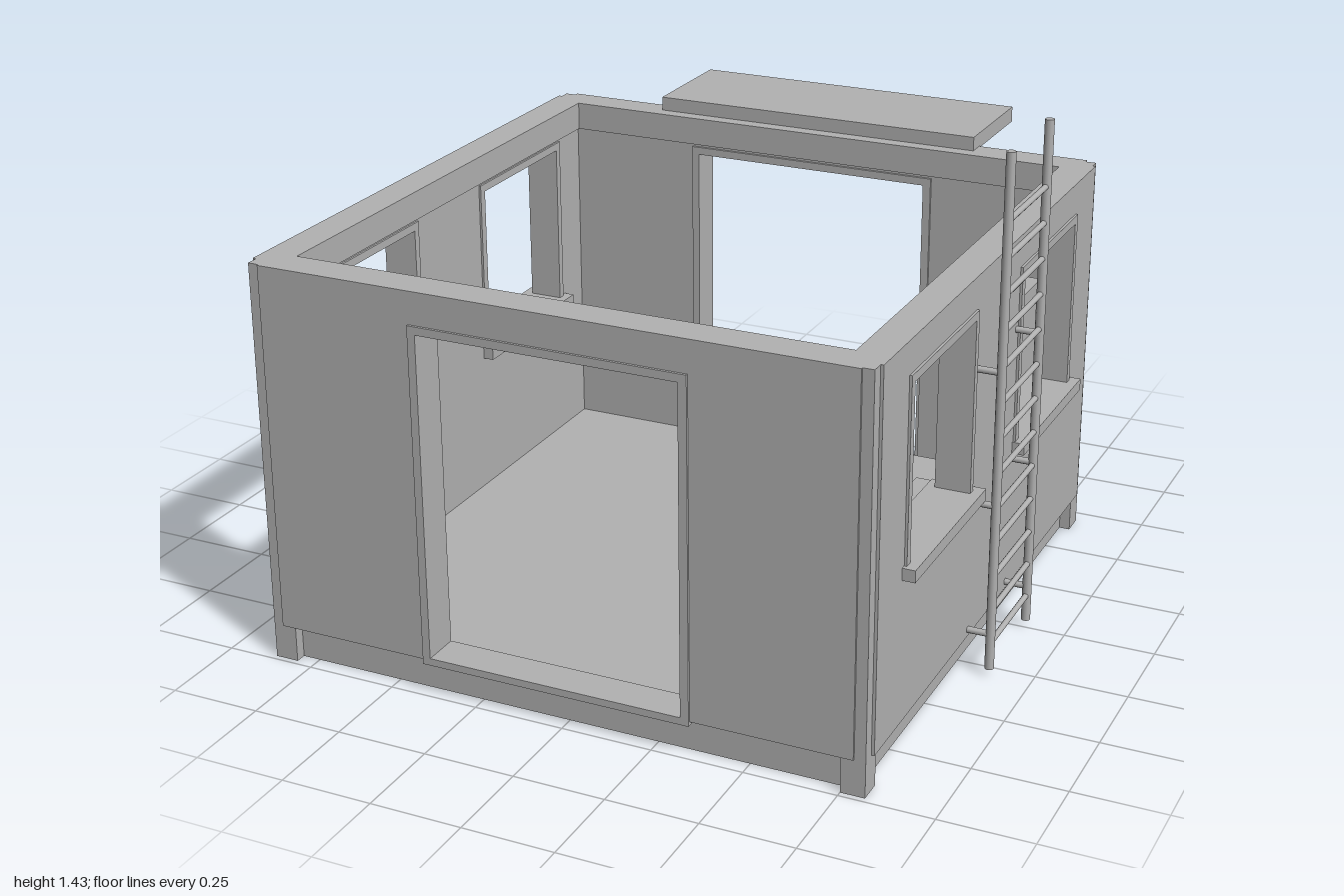
import * as THREE from 'three';

export function createModel() {
  const root = new THREE.Group();
  root.name = 'cabin';
  const grey = new THREE.MeshStandardMaterial({ color: 0xb2b2b2 });
  grey.name = 'plain grey';

  const add = (name, geometry, parent = root) => {
    const mesh = new THREE.Mesh(geometry, grey);
    mesh.name = name;
    parent.add(mesh);
    return mesh;
  };
  const group = (name) => {
    const g = new THREE.Group();
    g.name = name;
    root.add(g);
    return g;
  };
  // Box given by its limits on each axis
  const box = (name, [x0, x1], [y0, y1], [z0, z1], parent) => {
    const g = new THREE.BoxGeometry(x1 - x0, y1 - y0, z1 - z0);
    g.translate((x0 + x1) / 2, (y0 + y1) / 2, (z0 + z1) / 2);
    return add(name, g, parent);
  };
  // Round bar between two points
  const rod = (name, a, b, r, parent) => {
    const p = new THREE.Vector3(...a), q = new THREE.Vector3(...b);
    const mesh = add(name, new THREE.CylinderGeometry(r, r, p.distanceTo(q), 10), parent);
    mesh.position.copy(p).lerp(q, 0.5);
    mesh.quaternion.setFromUnitVectors(new THREE.Vector3(0, 1, 0), q.sub(p).normalize());
    return mesh;
  };
  // Upright slab with rectangular holes [u0, u1, y0, y1]; w is its depth range.
  // Along 'x' the slab faces z, along 'z' it faces x.
  const slab = (name, along, [u0, u1, y0, y1], holes, [w0, w1], parent) => {
    const trace = (path, a, b, c, d) => {
      path.moveTo(a, c);
      path.lineTo(b, c);
      path.lineTo(b, d);
      path.lineTo(a, d);
      path.closePath();
      return path;
    };
    const shape = trace(new THREE.Shape(), u0, u1, y0, y1);
    holes.forEach((h) => shape.holes.push(trace(new THREE.Path(), ...h)));
    const g = new THREE.ExtrudeGeometry(shape, { depth: w1 - w0, bevelEnabled: false });
    if (along === 'x') g.translate(0, 0, w0);
    else g.rotateY(-Math.PI / 2).translate(w1, 0, 0);
    return add(name, g, parent);
  };

  // Base and corner feet
  box('floorBase', [-0.835, 0.785], [0, 0.1], [-0.667, 0.955]);
  for (const x of [[-0.865, -0.8], [0.75, 0.815]])
    for (const z of [[-0.697, -0.632], [0.92, 0.985]]) box('cornerFoot', x, [0, 0.1], z);

  // Front and back walls with doorways
  const door = [-0.38, 0.33, 0.11, 1.0];
  const doorOuter = [-0.402, 0.353, 0.09, 1.022];
  const endWalls = [
    ['front', [0.9, 0.985], [0.985, 0.991], [0.893, 0.998]],
    ['back', [-0.697, -0.627], [-0.71, -0.697], [-0.717, -0.62]],
  ];
  for (const [side, core, skin, frame] of endWalls) {
    slab(side + 'Wall', 'x', [-0.79, 0.74, 0.1, 1.11], [door], core);
    slab(side + 'Panel', 'x', [-0.835, 0.785, 0.1, 1.11], [door], skin);
    slab(side + 'DoorFrame', 'x', doorOuter, [door], frame);
  }

  // Side walls, each with two framed windows and sills
  const windows = [
    { hole: [0.333, 0.76, 0.53, 1.0], outer: [0.312, 0.782, 0.52, 1.022], sill: [0.288, 0.795] },
    { hole: [-0.475, -0.048, 0.53, 1.0], outer: [-0.497, -0.025, 0.52, 1.022], sill: [-0.517, -0.018] },
  ];
  const holes = windows.map((w) => w.hole);
  const sideWalls = [
    ['right', [-0.865, -0.79], [-0.875, -0.865], [-0.881, -0.784], [-0.908, -0.76]],
    ['left', [0.74, 0.815], [0.815, 0.823], [0.734, 0.83], [0.71, 0.857]],
  ];
  for (const [side, core, skin, frame, sill] of sideWalls) {
    slab(side + 'Wall', 'z', [-0.697, 0.985, 0.1, 1.11], holes, core);
    slab(side + 'Panel', 'z', [-0.667, 0.95, 0.1, 1.11], holes, skin);
    for (const w of windows) {
      slab(side + 'WindowFrame', 'z', w.outer, [w.hole], frame);
      box(side + 'WindowSill', sill, [0.497, 0.53], w.sill);
    }
  }

  // Slightly proud beam inside the top of the walls
  box('innerBeam', [-0.79, -0.782], [1.03, 1.11], [-0.627, 0.9]);
  box('innerBeam', [0.732, 0.74], [1.03, 1.11], [-0.627, 0.9]);
  box('innerBeam', [-0.79, 0.74], [1.03, 1.11], [0.892, 0.9]);
  box('innerBeam', [-0.79, 0.74], [1.03, 1.11], [-0.627, -0.619]);

  // Canopy over the back door
  const canopy = group('canopy');
  box('canopyRoof', [-0.52, 0.465], [1.105, 1.15], [-1, -0.66], canopy);
  for (const x of [-0.39, 0.365])
    rod('canopyStrut', [x, 0.995, -0.705], [x, 1.103, -0.985], 0.009, canopy);

  // Ladder on the left wall
  const ladder = group('ladder');
  for (const z of [-0.01, 0.29]) {
    rod('ladderRail', [0.886, 0.02, z], [0.886, 1.433, z], 0.0125, ladder);
    for (const y of [0.12, 0.487, 0.855])
      rod('ladderBracket', [0.81, y, z], [0.886, y, z], 0.009, ladder);
  }
  for (let i = 0; i < 13; i++) {
    const y = 0.094 + i * 0.0968;
    rod('ladderRung', [0.886, y, -0.01], [0.886, y, 0.29], 0.008, ladder);
  }

  // Desk with end panels, screen and small case
  const desk = group('desk');
  box('deskTop', [0.48, 0.705], [0.395, 0.43], [-0.04, 0.6], desk);
  box('deskEndPanel', [0.49, 0.705], [0.1, 0.395], [-0.035, 0], desk);
  box('deskEndPanel', [0.49, 0.705], [0.1, 0.395], [0.56, 0.595], desk);
  box('screen', [0.542, 0.567], [0.5, 0.675], [0.155, 0.405], desk);
  box('screenStand', [0.567, 0.585], [0.43, 0.58], [0.267, 0.292], desk);
  box('screenFoot', [0.545, 0.585], [0.43, 0.44], [0.24, 0.32], desk);
  box('deskCase', [0.63, 0.705], [0.43, 0.475], [0.185, 0.375], desk);

  // Chair facing the desk
  const chair = group('chair');
  box('chairSeat', [0.278, 0.475], [0.29, 0.33], [0.18, 0.375], chair);
  box('chairBack', [0.27, 0.305], [0.325, 0.575], [0.18, 0.375], chair);
  for (const x of [0.305, 0.452])
    for (const z of [0.205, 0.35]) rod('chairLeg', [x, 0.1, z], [x, 0.29, z], 0.009, chair);

  // Cabinet in the back corner
  const cabinet = group('cabinet');
  box('cabinetBody', [0.447, 0.706], [0.13, 0.785], [-0.583, -0.318], cabinet);
  box('cabinetBackPlate', [0.46, 0.695], [0.16, 0.765], [-0.6, -0.583], cabinet);
  for (const x of [[0.455, 0.49], [0.665, 0.7]])
    for (const z of [[-0.575, -0.535], [-0.345, -0.304]]) box('cabinetFoot', x, [0.1, 0.13], z, cabinet);

  return root;
}
